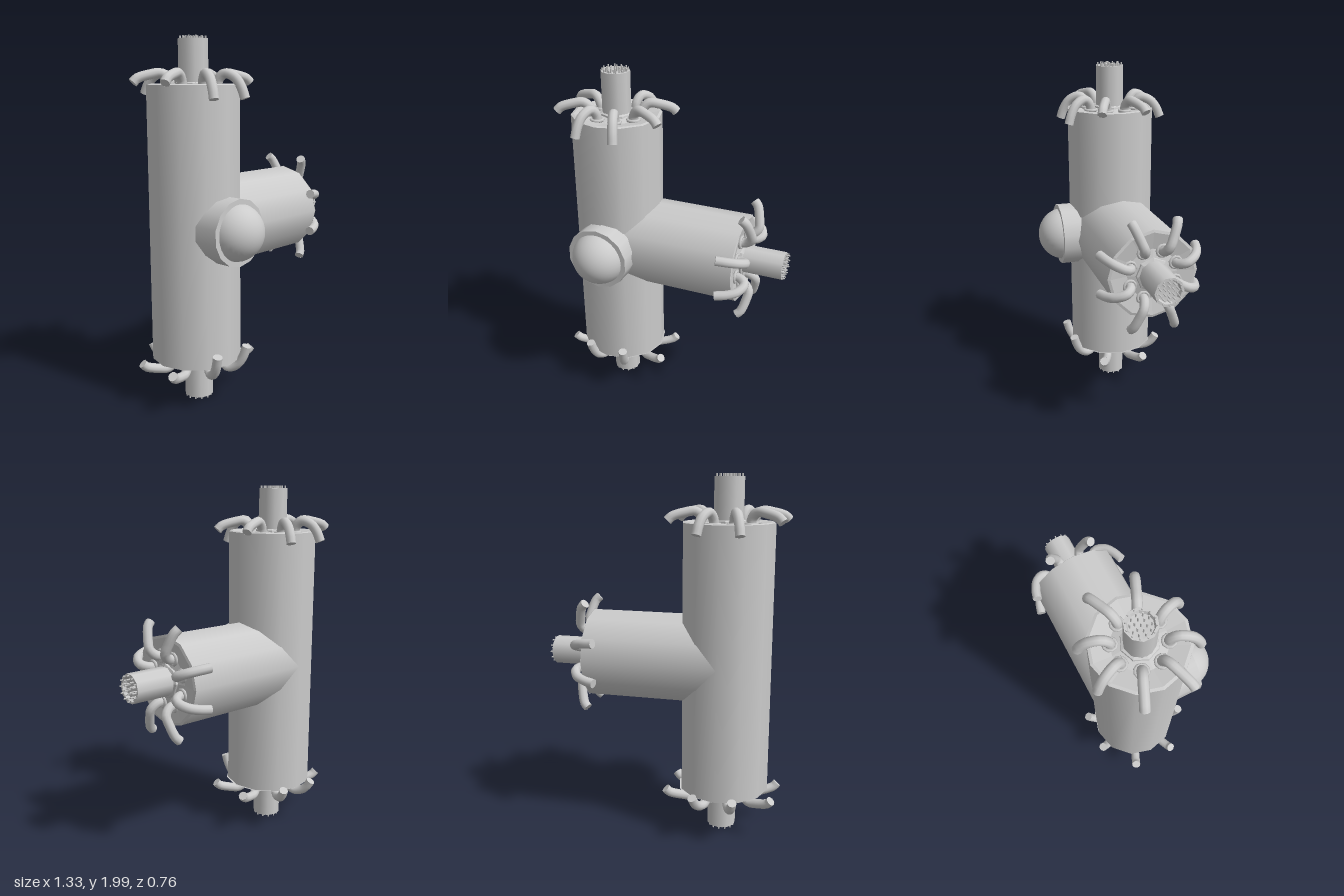
import * as THREE from 'three';

const grey = new THREE.MeshStandardMaterial({ color: 0xcccccc });
const open = new THREE.MeshStandardMaterial({ color: 0xcccccc, side: THREE.DoubleSide });
const faceted = new THREE.MeshStandardMaterial({ color: 0xcccccc, side: THREE.DoubleSide, flatShading: true });

function add(parent, name, geometry, material = grey) {
  const mesh = new THREE.Mesh(geometry, material);
  mesh.name = name;
  parent.add(mesh);
  return mesh;
}

const lathe = (points, sides) =>
  new THREE.LatheGeometry(points.map(([r, y]) => new THREE.Vector2(r, y)), sides);

// Curled tube that rises from the cap and bends outward; drop is the height of its tip
function makeTentacle(angle, reach, drop) {
  const group = new THREE.Group();
  group.name = 'tentacle';
  const path = new THREE.CatmullRomCurve3([
    [0.135, -0.02], [0.142, 0.025], [0.178, 0.058],
    [0.235, 0.05 + drop * 0.2], [reach - 0.02, 0.025 + drop * 0.55], [reach, drop],
  ].map(([r, y]) => new THREE.Vector3(r, y, 0)));
  add(group, 'tentacleTube', new THREE.TubeGeometry(path, 16, 0.026, 10), open);

  const tip = add(group, 'tentacleTip', new THREE.CircleGeometry(0.026, 10));
  tip.position.copy(path.getPoint(1));
  tip.quaternion.setFromUnitVectors(new THREE.Vector3(0, 0, 1), path.getTangent(1));

  const socket = add(group, 'tentacleSocket', new THREE.TorusGeometry(0.031, 0.009, 6, 10));
  socket.rotation.x = Math.PI / 2;
  socket.position.set(0.137, -0.004, 0);
  group.rotation.y = angle;
  return group;
}

// End assembly pointing along local +y: dished cap, post with pins, eight tentacles
function makeEnd(name, frontDrop, backDrop, sideDrop) {
  const end = new THREE.Group();
  end.name = name;
  add(end, 'cap', lathe([[0.25, 0], [0.235, 0.004], [0.14, -0.014], [0.07, 0.005], [0, 0.005]], 12), faceted);
  add(end, 'postCollar', lathe([[0.098, -0.01], [0.094, 0.008], [0.08, 0.014]], 8), faceted);
  add(end, 'post', new THREE.CylinderGeometry(0.08, 0.08, 0.235, 10, 1, true), open).position.y = 0.1175;
  add(end, 'postRim', lathe([[0.08, 0.235], [0.066, 0.235], [0.06, 0.215], [0, 0.21]], 10), faceted);

  // Rings of small pins in the post's tip
  const pin = new THREE.CylinderGeometry(0.0045, 0.0045, 0.038, 5);
  for (const [count, radius] of [[1, 0], [6, 0.027], [10, 0.049], [12, 0.069]]) {
    for (let i = 0; i < count; i++) {
      const a = (i / count) * Math.PI * 2;
      add(end, 'pin', pin).position.set(radius * Math.cos(a), 0.23, radius * Math.sin(a));
    }
  }

  for (let i = 0; i < 8; i++) {
    const a = (i + 0.5) * Math.PI / 4;
    const z = -Math.sin(a);
    const facesZ = Math.abs(z) > 0.7;
    const drop = !facesZ ? sideDrop : z > 0 ? frontDrop : backDrop;
    end.add(makeTentacle(a, facesZ ? 0.29 : 0.325, drop));
  }
  return end;
}

export function createModel() {
  const model = new THREE.Group();
  model.name = 'branchedCylinder';
  const X = -0.35, Z = -0.055;

  // Upright body with an assembly at each end
  add(model, 'body', new THREE.CylinderGeometry(0.25, 0.25, 1.49, 12, 1, true), open).position.set(X, 1.005, Z);
  const top = makeEnd('topEnd', -0.07, -0.05, 0.01);
  top.position.set(X, 1.75, Z);
  const bottom = makeEnd('bottomEnd', -0.08, -0.02, 0.01);
  bottom.position.set(X + 0.01, 0.26, Z);
  bottom.rotation.z = Math.PI;
  model.add(top, bottom);

  // Side arm, turned slightly towards the back
  const arm = new THREE.Group();
  arm.name = 'sideArm';
  const tube = add(arm, 'armTube', new THREE.CylinderGeometry(0.248, 0.248, 0.76, 12, 1, true), open);
  tube.rotation.z = -Math.PI / 2;
  tube.position.x = 0.38;
  const armEnd = makeEnd('armEnd', -0.08, -0.08, 0.01);
  armEnd.rotation.z = -Math.PI / 2;
  armEnd.position.x = 0.76;
  arm.add(armEnd);
  arm.position.set(X, 1.003, Z);
  arm.rotation.y = 0.03;
  model.add(arm);

  // Domed lamp on the front
  const lamp = new THREE.Group();
  lamp.name = 'lamp';
  add(lamp, 'lampCollar', new THREE.CylinderGeometry(0.18, 0.18, 0.25, 14)).position.y = 0.145;
  add(lamp, 'lampDome', new THREE.SphereGeometry(0.155, 28, 14, 0, Math.PI * 2, 0, Math.PI / 2)).position.y = 0.235;
  lamp.rotation.x = Math.PI / 2;
  lamp.position.set(-0.338, 1.0, 0);
  model.add(lamp);

  return model;
}
